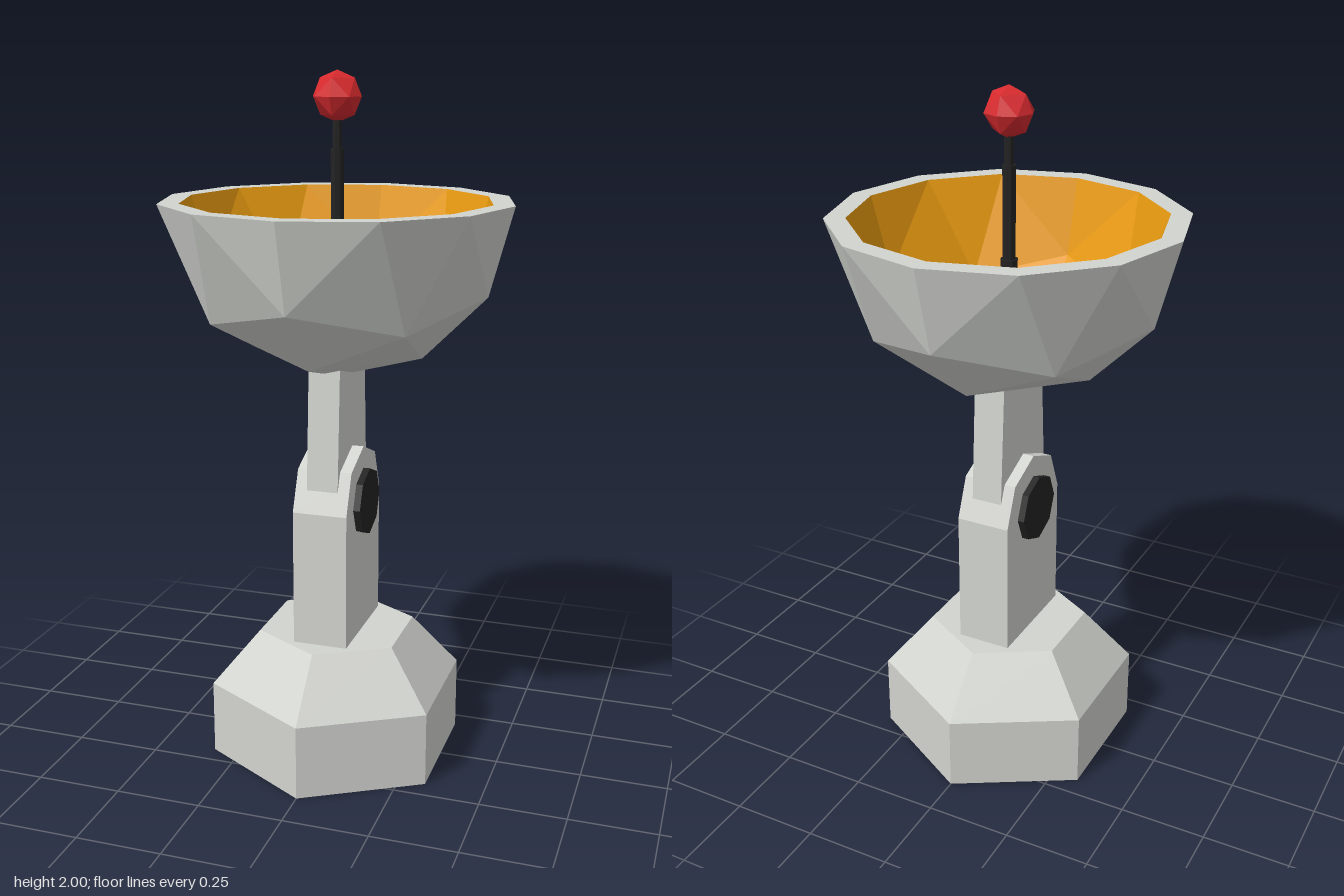
import * as THREE from 'three';

const mat = (name, color) => {
  const m = new THREE.MeshStandardMaterial({ color, flatShading: true });
  m.name = name;
  return m;
};

// Lower half of a sphere made from four octants, each split into rows of triangles
function octaBowl(radius, rows, inward) {
  const corner = (polar, q) => new THREE.Vector3(
    Math.sin(polar) * Math.cos(q), -Math.cos(polar), Math.sin(polar) * Math.sin(q));
  const point = (i, j, quad) => {
    const polar = (i / rows) * Math.PI / 2;
    const a = corner(polar, quad * Math.PI / 2);
    if (j === 0) return a.multiplyScalar(radius);
    const b = corner(polar, (quad + 1) * Math.PI / 2);
    const angle = a.angleTo(b), t = j / i;
    return a.multiplyScalar(Math.sin((1 - t) * angle))
      .addScaledVector(b, Math.sin(t * angle)).setLength(radius);
  };
  const pts = [];
  const tri = (a, b, c) => pts.push(...(inward ? [a, c, b] : [a, b, c]));
  for (let quad = 0; quad < 4; quad++) {
    for (let i = 0; i < rows; i++) {
      for (let j = 0; j <= i; j++) {
        const a = point(i, j, quad), d = point(i + 1, j + 1, quad);
        tri(a, point(i + 1, j, quad), d);
        if (j < i) tri(a, d, point(i, j + 1, quad));
      }
    }
  }
  const g = new THREE.BufferGeometry().setFromPoints(pts);
  g.computeVertexNormals();
  return g;
}

// Side profile given as [z, y] points, extruded across x and centred
function sidePlate(profile, width) {
  const shape = new THREE.Shape(profile.map(([z, y]) => new THREE.Vector2(z, y)));
  return new THREE.ExtrudeGeometry(shape, { depth: width, bevelEnabled: false })
    .translate(0, 0, -width / 2).rotateY(Math.PI / 2);
}

export function createModel() {
  const model = new THREE.Group();
  model.name = 'dishAntenna';

  const grey = mat('paleGrey', 0xd2d4cf);
  const orange = mat('orange', 0xe89a10);
  const black = mat('black', 0x222222);
  const red = mat('red', 0xd62a2e);

  const add = (name, geometry, material, x = 0, y = 0, z = 0) => {
    const mesh = new THREE.Mesh(geometry, material);
    mesh.name = name;
    mesh.position.set(x, y, z);
    model.add(mesh);
    return mesh;
  };

  // Hexagonal base with sloped shoulder
  add('base', new THREE.CylinderGeometry(0.38, 0.38, 0.22, 6), grey, 0, 0.11);
  add('baseShoulder', new THREE.CylinderGeometry(0.235, 0.38, 0.16, 6), grey, 0, 0.3);

  // Column with a faceted round top around the pivot
  const pivotY = 0.78, r = 0.165;
  const column = [[-r, 0.37], [r, 0.37]];
  for (let i = 0; i <= 4; i++) {
    const a = i * Math.PI / 4;
    column.push([r * Math.cos(a), pivotY + r * Math.sin(a)]);
  }
  add('column', sidePlate(column, 0.16), grey);

  // Pivot caps on both sides
  for (const s of [-1, 1]) {
    const cap = new THREE.CylinderGeometry(0.1, 0.1, 0.02, 8).rotateZ(Math.PI / 2);
    add(s > 0 ? 'leftPivotCap' : 'rightPivotCap', cap, black, s * 0.09, pivotY);
  }

  // Tapered arm carrying the dish
  add('arm', sidePlate([[-0.143, 0.78], [0.143, 0.78], [0.118, 1.2], [-0.118, 1.2]], 0.092), grey);

  // Dish: outer shell, inner lining and flat rim
  const rimY = 1.65;
  add('dishShell', octaBowl(0.5, 3, false), grey, 0, rimY);
  add('dishLining', octaBowl(0.44, 3, true), orange, 0, rimY);
  add('dishRim', new THREE.RingGeometry(0.44, 0.5, 12).rotateX(-Math.PI / 2), grey, 0, rimY);

  // Stepped mast and ball tip
  const steps = [[1.2, 1.53, 0.025], [1.53, 1.79, 0.019], [1.79, 1.88, 0.014]];
  steps.forEach(([y0, y1, rad], i) => {
    add('mast' + (i + 1), new THREE.CylinderGeometry(rad, rad, y1 - y0, 8), black, 0, (y0 + y1) / 2);
  });
  add('mastBall', new THREE.OctahedronGeometry(0.07, 1), red, 0, 1.93);

  return model;
}
